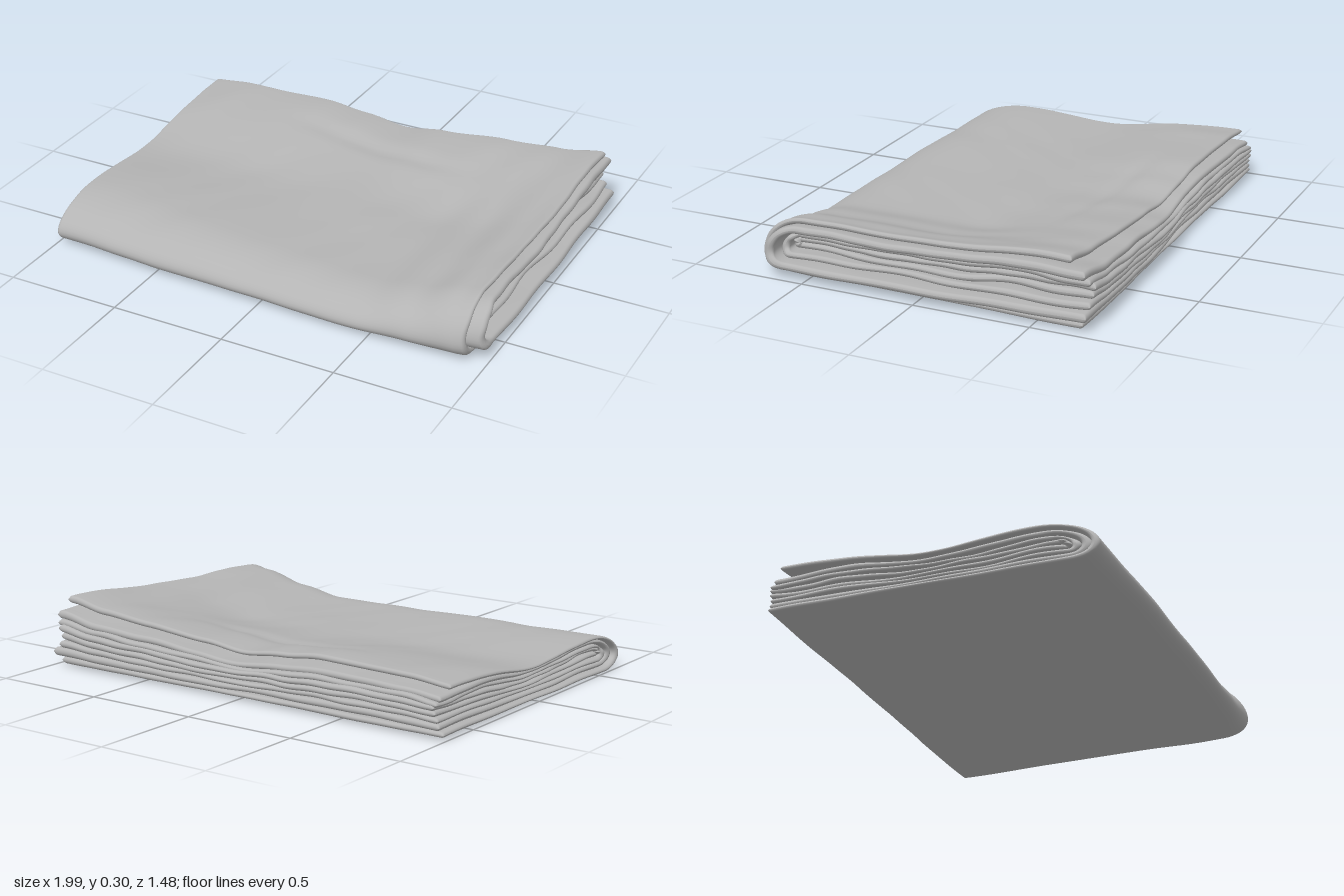
import * as THREE from 'three';

const { lerp, smoothstep } = THREE.MathUtils;

// Piecewise curve lookup with smooth steps
function curve(points, x) {
  if (x <= points[0][0]) return points[0][1];
  for (let i = 1; i < points.length; i++) {
    const [x0, y0] = points[i - 1], [x1, y1] = points[i];
    if (x <= x1) return lerp(y0, y1, smoothstep(x, x0, x1));
  }
  return points[points.length - 1][1];
}

const frontHeight = [[-1, 0.186], [-0.5, 0.174], [0, 0.158], [0.45, 0.15], [0.65, 0.185], [0.85, 0.24], [0.95, 0.262]];
const backHeight = [[-1, 0.215], [-0.8, 0.235], [-0.4, 0.24], [-0.2, 0.225], [0, 0.205], [0.2, 0.225], [0.5, 0.25], [0.75, 0.272], [0.95, 0.305]];
const frontEdge = [[-1, 0.69], [-0.3, 0.72], [0.35, 0.735], [0.9, 0.73], [1, 0.72]];
const frontRadius = [[-1, 0.3], [0, 0.24], [0.9, 0.2]];
const backInset = [[-1, 0.02], [-0.1, 0.028], [0.2, 0.01], [0.8, 0]];

const ripple = (a, b, seed) =>
  (Math.sin(a * 9 + b * 4 + seed) + Math.sin(a * 5 - b * 13 + seed * 2.3) + Math.sin(a * 21 + b * 17 + seed * 1.7) * 0.5) / 2.5;

// Height of the whole stack: low in front, rising to the back edge, with a dip and a crease
function stackHeight(x, z) {
  const h = lerp(curve(backHeight, x), curve(frontHeight, x), smoothstep(z, -0.62, 0.02));
  const dip = 0.025 * Math.exp(-((z / 0.25) ** 2)) * (1 - smoothstep(x, -1, 0.2));
  const crease = 0.012 * Math.exp(-(((z + 0.4 - 0.1 * x) / 0.045) ** 2)) * Math.exp(-((x / 0.4) ** 4));
  return h - dip - crease + 0.003 * ripple(x, z, 1);
}

// Samples between two ends, crowded near both for rounded hems
function samples(length, count) {
  const hem = [0, 0.001, 0.004, 0.009, 0.015];
  const list = [...hem];
  for (let i = 1; i < count; i++) list.push(0.015 + (length - 0.03) * i / count);
  return [...list, ...hem.map(d => length - d).reverse()];
}
function hemRound(d, length) {
  const e = Math.min(1, Math.min(d, length - d) / 0.015);
  return Math.sqrt(Math.max(0, 1 - (1 - e) ** 2));
}

// Point on the folded sheet: s runs 0-1 on top, 1-2 round the fold, 2-3 underneath
function foldPoint(layer, s, depth, row) {
  const xGuess = lerp(layer.x0, layer.x1, row);
  const front = curve(frontEdge, xGuess) - 0.32 * depth;
  const topRadius = curve(frontRadius, xGuess) * (1 - 2 * depth);
  const bottomRadius = 0.12 * (1 - 2 * depth);
  const inset = layer.inset * curve(backInset, xGuess);
  const nose = 0.62;
  let z, c = 1;
  if (s <= 1) {
    z = lerp(layer.backTop + inset + 0.006 * ripple(xGuess, 0, layer.seed), front - topRadius, s);
  } else if (s < 2) {
    // The nose of the fold hangs low, with a long slope above and a tight turn below
    const t = s - 1;
    z = t < nose
      ? front - topRadius * (1 - Math.sin(t / nose * Math.PI / 2))
      : front - bottomRadius * (1 - Math.cos((t - nose) / (1 - nose) * Math.PI / 2));
    c = Math.cos(t * Math.PI);
  } else {
    z = lerp(front - bottomRadius, layer.backBottom + inset + 0.006 * ripple(xGuess, 1, layer.seed), s - 2);
    c = -1;
  }
  const right = layer.x1 - layer.slant * (z + 0.65) + layer.flare * (1 - c) / 2 + layer.wrinkle * ripple(z, s, layer.seed);
  const left = layer.x0 + layer.wrinkle * 0.5 * ripple(z, s, layer.seed + 3);
  const x = lerp(left, right, row);
  const lift = 0.004 + 0.01 * (0.7 - z) / 1.4 + 0.003 * (1 + ripple(x, z, 5));
  const sag = layer.wrinkle * 0.3 * ripple(x * 1.4, z * 1.2, layer.seed + 2);
  const drop = layer.drop * (1 - smoothstep(z, -0.68, -0.3)) * Math.max(c, 0);
  const y = lift + (stackHeight(x, z) - lift) * (0.5 + (0.5 - depth) * c) + sag - drop;
  return [x, y, z];
}

// One folded sheet: a closed band section swept from side to side
function foldedSheet(layer) {
  const width = layer.x1 - layer.x0;
  const rows = samples(width, 64);
  const top = samples(1.3, 40).slice(0, -5).map(d => [d / 1.3, hemRound(d, 2.6)]);
  const arc = Array.from({ length: 23 }, (_, i) => [1 + i / 22, 1]);
  const path = [...top, ...arc, ...top.map(([s, e]) => [3 - s, e]).reverse()];
  const loop = [...path.map(p => [...p, -1]), ...path.slice(1, -1).reverse().map(p => [...p, 1])];
  const mid = (layer.f0 + layer.f1) / 2, half = (layer.f1 - layer.f0) / 2;
  const positions = [], index = [];
  rows.forEach((d, i) => {
    const endRound = hemRound(d, width);
    loop.forEach(([s, e, side], j) => {
      positions.push(...foldPoint(layer, s, mid + side * half * e * endRound, d / width));
      if (i === rows.length - 1) return;
      const n = loop.length, a = i * n + j, b = i * n + (j + 1) % n;
      index.push(a, b, a + n, b, b + n, a + n);
    });
  });
  const geometry = new THREE.BufferGeometry();
  geometry.setAttribute('position', new THREE.Float32BufferAttribute(positions, 3));
  geometry.setIndex(index);
  geometry.computeVertexNormals();
  return geometry;
}

export function createModel() {
  const group = new THREE.Group();
  group.name = 'foldedCloth';
  const cloth = new THREE.MeshStandardMaterial({ color: 0xb4b4b4 });
  cloth.name = 'greyCloth';

  // Nested sheets from the outside in; f0 and f1 are depths within the stack
  const layers = [
    { name: 'outerSheet', f0: 0, f1: 0.11, x0: -0.993, x1: 0.957, slant: 0.028, flare: 0, backTop: -0.655, backBottom: -0.705, inset: 0, drop: 0, wrinkle: 0.005, seed: 1 },
    { name: 'middleSheet', f0: 0.12, f1: 0.25, x0: -0.975, x1: 0.972, slant: 0, flare: 0.018, backTop: -0.715, backBottom: -0.725, inset: 1, drop: 0.02, wrinkle: 0.008, seed: 4 },
    { name: 'innerSheet', f0: 0.26, f1: 0.37, x0: -0.97, x1: 0.945, slant: 0.03, flare: 0.01, backTop: -0.73, backBottom: -0.73, inset: 1, drop: 0.012, wrinkle: 0.016, seed: 7 },
    { name: 'coreSheet', f0: 0.375, f1: 0.49, x0: -0.965, x1: 0.925, slant: 0.04, flare: 0, backTop: -0.742, backBottom: -0.735, inset: 1, drop: 0.004, wrinkle: 0.02, seed: 10 },
  ];
  for (const layer of layers) {
    const mesh = new THREE.Mesh(foldedSheet(layer), cloth);
    mesh.name = layer.name;
    group.add(mesh);
  }
  return group;
}
